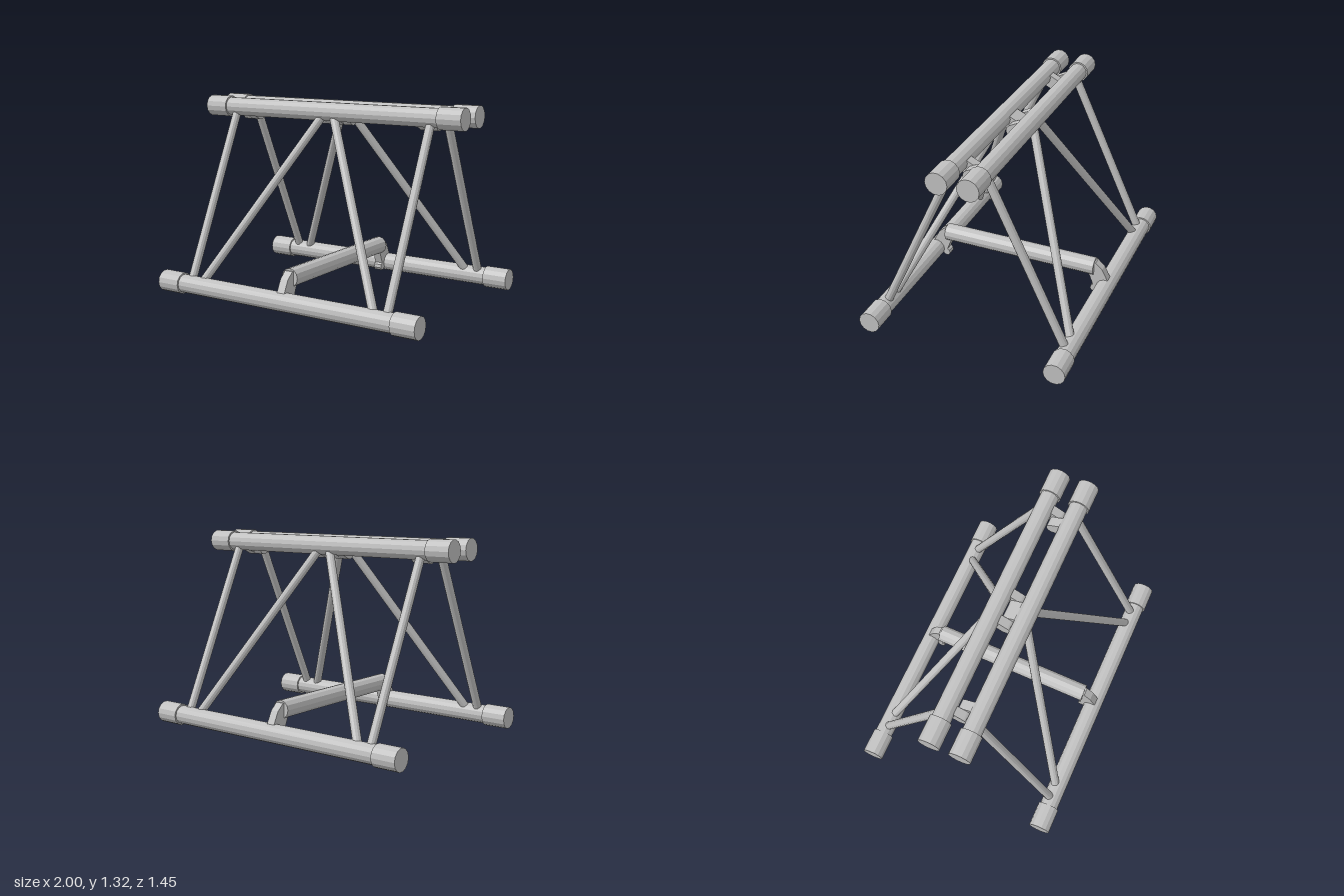
import * as THREE from 'three';

export function createModel() {
  const group = new THREE.Group();
  const metal = new THREE.MeshStandardMaterial({ color: 0xc0c0c0, flatShading: true });
  metal.name = 'brushed aluminium';

  const add = (name, geometry) => {
    const mesh = new THREE.Mesh(geometry, metal);
    mesh.name = name;
    group.add(mesh);
    return mesh;
  };

  // Round tube between two points
  const tube = (name, a, b, radius, sides = 12) => {
    const start = new THREE.Vector3(...a), end = new THREE.Vector3(...b);
    const mesh = add(name, new THREE.CylinderGeometry(radius, radius, start.distanceTo(end), sides));
    mesh.position.copy(start).add(end).multiplyScalar(0.5);
    mesh.quaternion.setFromUnitVectors(new THREE.Vector3(0, 1, 0), end.sub(start).normalize());
    return mesh;
  };

  // Plate drawn as (z, y) outline and extruded along x from x0 to x1
  const plate = (name, shape, x0, x1) => {
    const geometry = new THREE.ExtrudeGeometry(shape, { depth: x1 - x0, bevelEnabled: false, curveSegments: 10 });
    geometry.rotateY(-Math.PI / 2); // outline x -> z, depth -> -x
    geometry.translate(x1, 0, 0);
    return add(name, geometry);
  };

  const topY = 1.25, topZ = 0.102, lowY = 0.0735, lowZ = 0.65;

  for (const s of [1, -1]) {
    const side = s > 0 ? 'front' : 'back';

    // Main chords with thicker end sleeves
    for (const [level, y, z] of [['Top', topY, topZ], ['Bottom', lowY, lowZ]]) {
      tube(`${side}${level}Chord`, [-0.84, y, s * z], [0.84, y, s * z], 0.063, 14);
      for (const e of [1, -1]) {
        tube(`${side}${level}Sleeve`, [e * 0.83, y, s * z], [e, y, s * z], 0.0735, 14);
      }
    }

    // Upright and diagonal braces
    for (const e of [1, -1]) {
      tube(`${side}Upright`, [e * 0.768, lowY, s * lowZ], [e * 0.768, topY, s * topZ], 0.029);
      tube(`${side}Diagonal`, [e * 0.69, lowY, s * lowZ], [e * 0.028, topY, s * topZ], 0.029);
    }

    // Hooked bracket holding the cross bar on the bottom chord
    const outline = [
      [0.53, 0.16], [0.53, 0.24], [0.55, 0.26], [0.575, 0.26], [0.625, 0.215], [0.668, 0.13],
      [0.64, 0.075], [0.6, 0.05], [0.58, 0.027], [0.555, 0.027], [0.543, 0.045], [0.547, 0.068], [0.562, 0.08],
    ];
    plate(`${side}Bracket`, new THREE.Shape(outline.map(([z, y]) => new THREE.Vector2(s * z, y))), -0.029, 0.029);

    // Interleaved hinge lugs joining the two top chords
    const r = 0.043, hingeY = 1.2;
    const angle = Math.atan2(topY - hingeY, s * topZ);
    const lug = new THREE.Shape();
    lug.absarc(0, hingeY, r, angle + Math.PI / 2, angle + Math.PI * 1.5, false);
    const nx = -Math.sin(angle) * r, ny = Math.cos(angle) * r;
    lug.lineTo(s * topZ - nx, topY - ny);
    lug.lineTo(s * topZ + nx, topY + ny);
    lug.closePath();
    const spans = s > 0
      ? [[-0.712, -0.648], [-0.064, 0.064], [0.642, 0.708]]
      : [[-0.774, -0.714], [-0.128, -0.066], [0.066, 0.128], [0.71, 0.772]];
    for (const [x0, x1] of spans) plate(`${side}HingeLug`, lug, x0, x1);
  }

  // Cross bar spanning the base
  tube('crossBar', [0, 0.215, -0.565], [0, 0.215, 0.565], 0.061, 12);

  return group;
}
